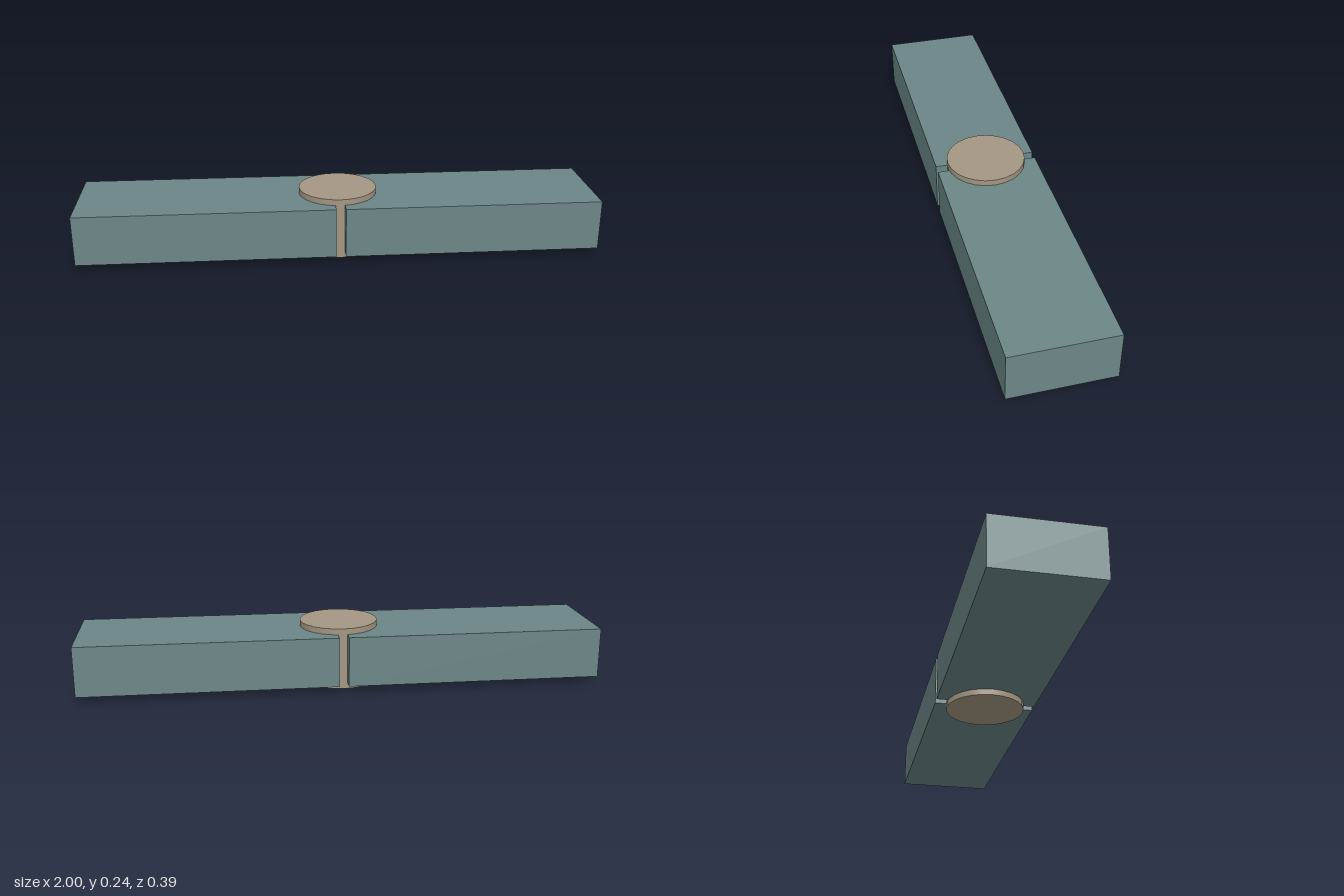
import * as THREE from 'three';

export function createModel() {
  const group = new THREE.Group();
  const armMat = new THREE.MeshStandardMaterial({ color: 0x6c8687 });
  const pinMat = new THREE.MeshStandardMaterial({ color: 0xa49783 });

  const height = 0.239, armHeight = 0.193, armDepth = 0.388, gap = 0.036;
  const armLength = 1 - gap / 2;

  // Two mirrored arms separated by a narrow gap
  for (const side of [-1, 1]) {
    const arm = new THREE.Mesh(new THREE.BoxGeometry(armLength, armHeight, armDepth), armMat);
    arm.name = side > 0 ? 'leftArm' : 'rightArm';
    arm.position.set(side * (gap / 2 + armLength / 2), height / 2, 0);
    group.add(arm);
  }

  // Round pivot pin running through both arms, proud at top and bottom
  const pin = new THREE.Mesh(new THREE.CylinderGeometry(0.151, 0.151, height, 24), pinMat);
  pin.name = 'pivotPin';
  pin.position.y = height / 2;
  group.add(pin);

  return group;
}
